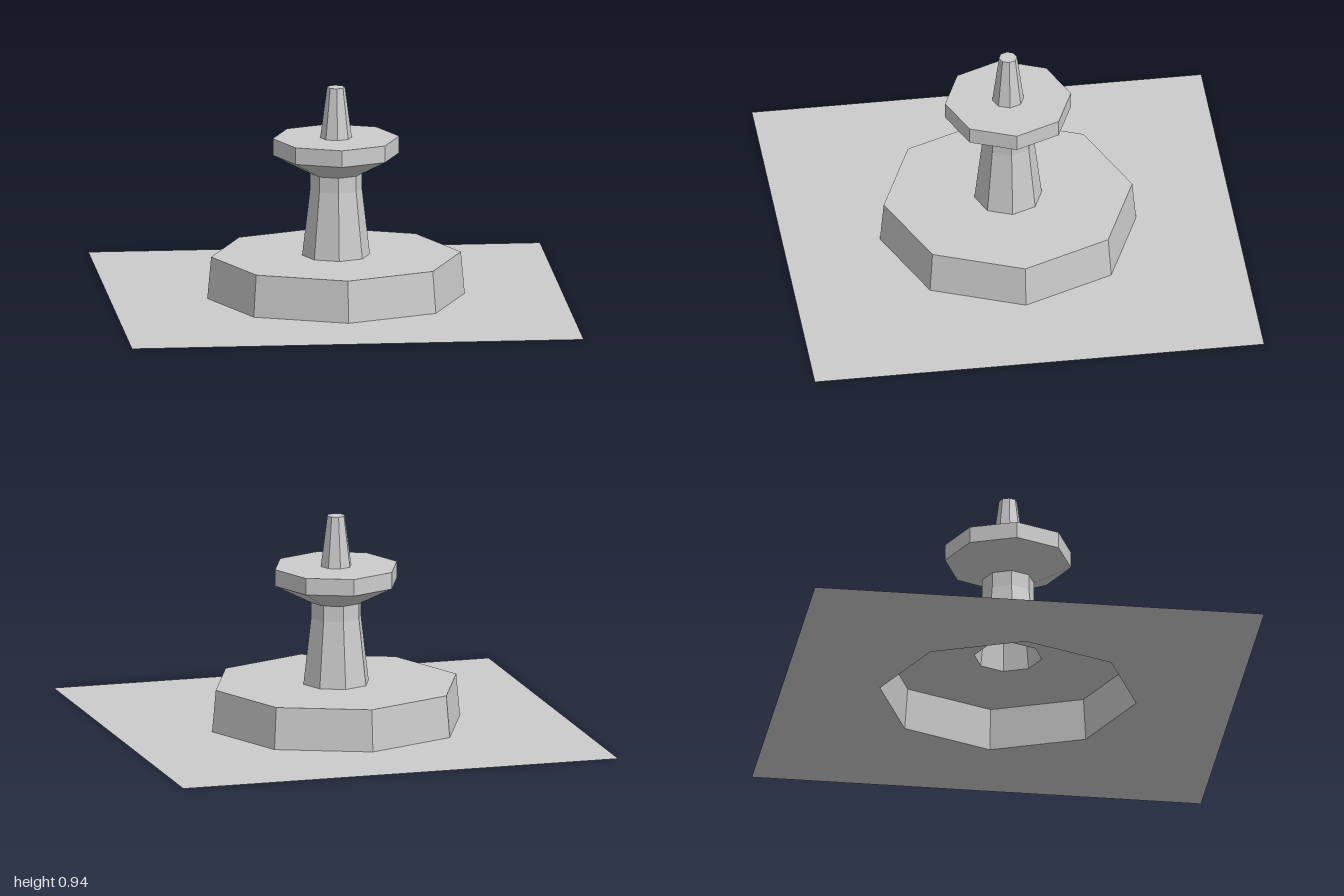
import * as THREE from 'three';

const SIDES = 8;

export function createModel() {
  const model = new THREE.Group();
  const material = new THREE.MeshStandardMaterial({
    color: 0xcccccc, flatShading: true, side: THREE.DoubleSide,
  });

  const add = (name, geometry) => {
    const mesh = new THREE.Mesh(geometry, material);
    mesh.name = name;
    model.add(mesh);
    return mesh;
  };

  // Octagonal open shell from [radius, height] points, bottom to top
  const shell = (name, profile) => add(name, new THREE.LatheGeometry(
    profile.map(([r, y]) => new THREE.Vector2(r, y)), SIDES));

  // Square ground sheet, open under the hollow plinth
  const sheet = new THREE.Shape([[-1, -1], [1, -1], [1, 1], [-1, 1]]
    .map(([x, y]) => new THREE.Vector2(x, y)));
  const opening = Array.from({ length: SIDES }, (_, i) => {
    const a = -i / SIDES * Math.PI * 2;
    return new THREE.Vector2(0.57 * Math.cos(a), 0.57 * Math.sin(a));
  });
  sheet.holes.push(new THREE.Path(opening));
  add('ground', new THREE.ShapeGeometry(sheet).rotateX(-Math.PI / 2));

  // Hollow plinth, with its top open into the column
  shell('plinth', [[0.57, 0], [0.553, 0.187], [0.15, 0.187]]);

  // Tapered column with a straight neck
  shell('column', [[0.15, 0.187], [0.115, 0.485], [0.115, 0.555]]);

  // Flared disc on the neck
  shell('disc', [[0.115, 0.555], [0.28, 0.64], [0.28, 0.715], [0.07, 0.715]]);

  // Tapered finial with a flat cap
  shell('finial', [[0.07, 0.715], [0.04, 0.942], [0, 0.942]]);

  return model;
}
